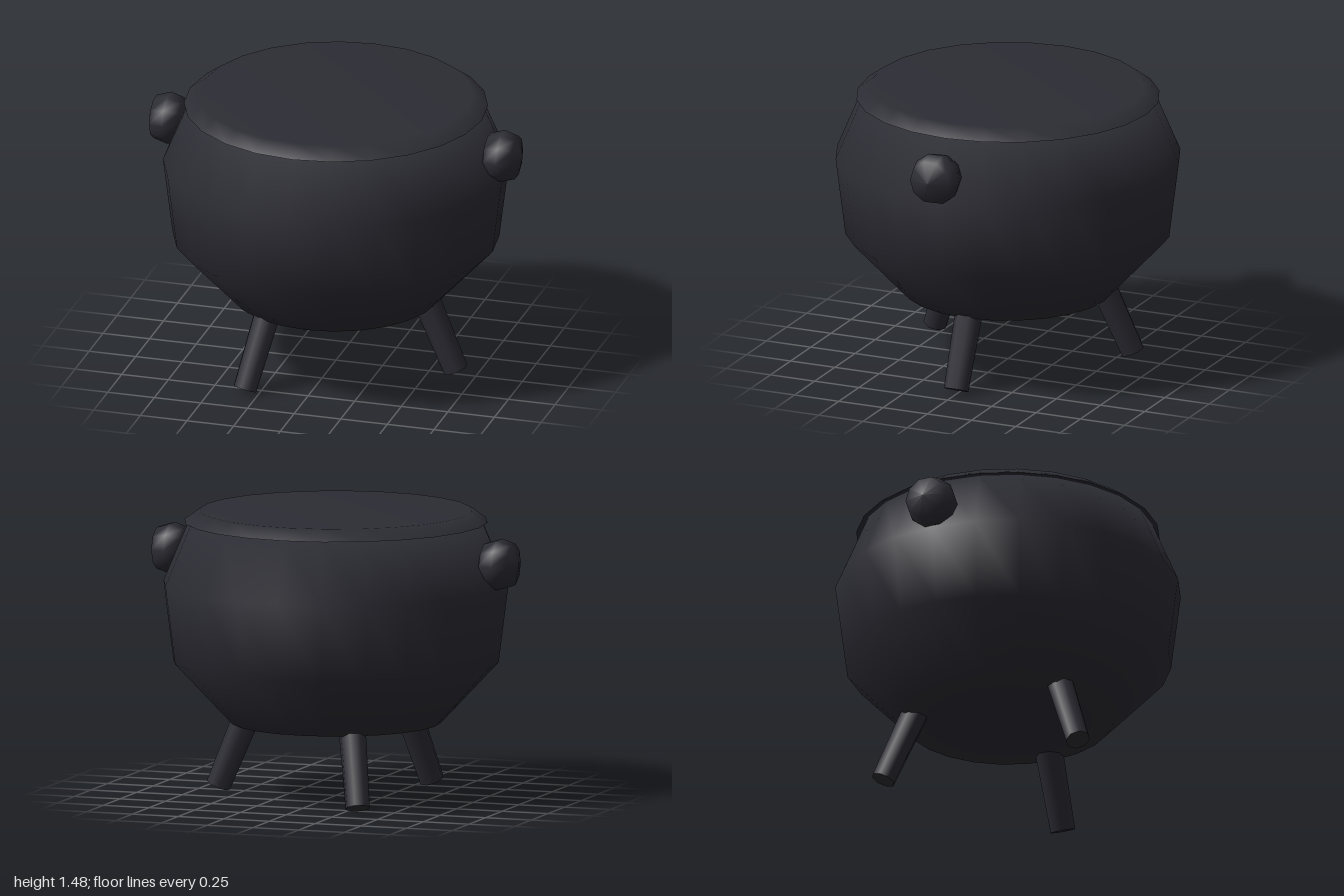
import * as THREE from 'three';

const iron = new THREE.MeshStandardMaterial({ color: 0x2c2c34 });
iron.name = 'darkIron';

// Smooth solid of revolution from [radius, height] pairs, bottom to top
function turned(name, profile, segments) {
  const points = profile.map(([r, y]) => new THREE.Vector2(r, y));
  const mesh = new THREE.Mesh(new THREE.LatheGeometry(points, segments), iron);
  mesh.name = name;
  return mesh;
}

export function createModel() {
  const group = new THREE.Group();
  group.name = 'cauldron';

  // Round-bellied pot
  group.add(turned('pot', [
    [0, 0.36], [0.54, 0.385], [0.84, 0.705], [0.89, 1.11], [0.757, 1.425], [0, 1.43],
  ], 24));

  // Bevelled rim with closed top
  group.add(turned('rimUnderside', [[0.7, 1.422], [0.782, 1.428]], 24));
  group.add(turned('rim', [[0.782, 1.428], [0.702, 1.485], [0, 1.486]], 24));

  // Side knobs, turned around the x axis
  for (const side of [1, -1]) {
    const knob = turned(side > 0 ? 'leftKnob' : 'rightKnob', [
      [0, -0.105], [0.112, -0.075], [0.135, 0], [0.112, 0.075], [0, 0.105],
    ], 10);
    knob.rotation.z = -side * Math.PI / 2;
    knob.position.set(side * 0.895, 1.245, 0);
    group.add(knob);
  }

  // Three splayed, slightly tapered legs
  const foot = new THREE.Vector3(0.643, 0.026, 0);
  const hip = new THREE.Vector3(0.45, 0.48, 0);
  const axis = hip.clone().sub(foot);
  const legGeometry = new THREE.CylinderGeometry(0.073, 0.064, axis.length(), 8);
  legGeometry.rotateY(Math.PI / 8);
  for (let i = 0; i < 3; i++) {
    const leg = new THREE.Mesh(legGeometry, iron);
    leg.name = 'leg' + (i + 1);
    leg.position.copy(foot).add(hip).multiplyScalar(0.5);
    leg.quaternion.setFromUnitVectors(new THREE.Vector3(0, 1, 0), axis.clone().normalize());
    const pivot = new THREE.Group();
    pivot.name = 'legPivot' + (i + 1);
    pivot.rotation.y = i * Math.PI * 2 / 3;
    pivot.add(leg);
    group.add(pivot);
  }
  return group;
}
